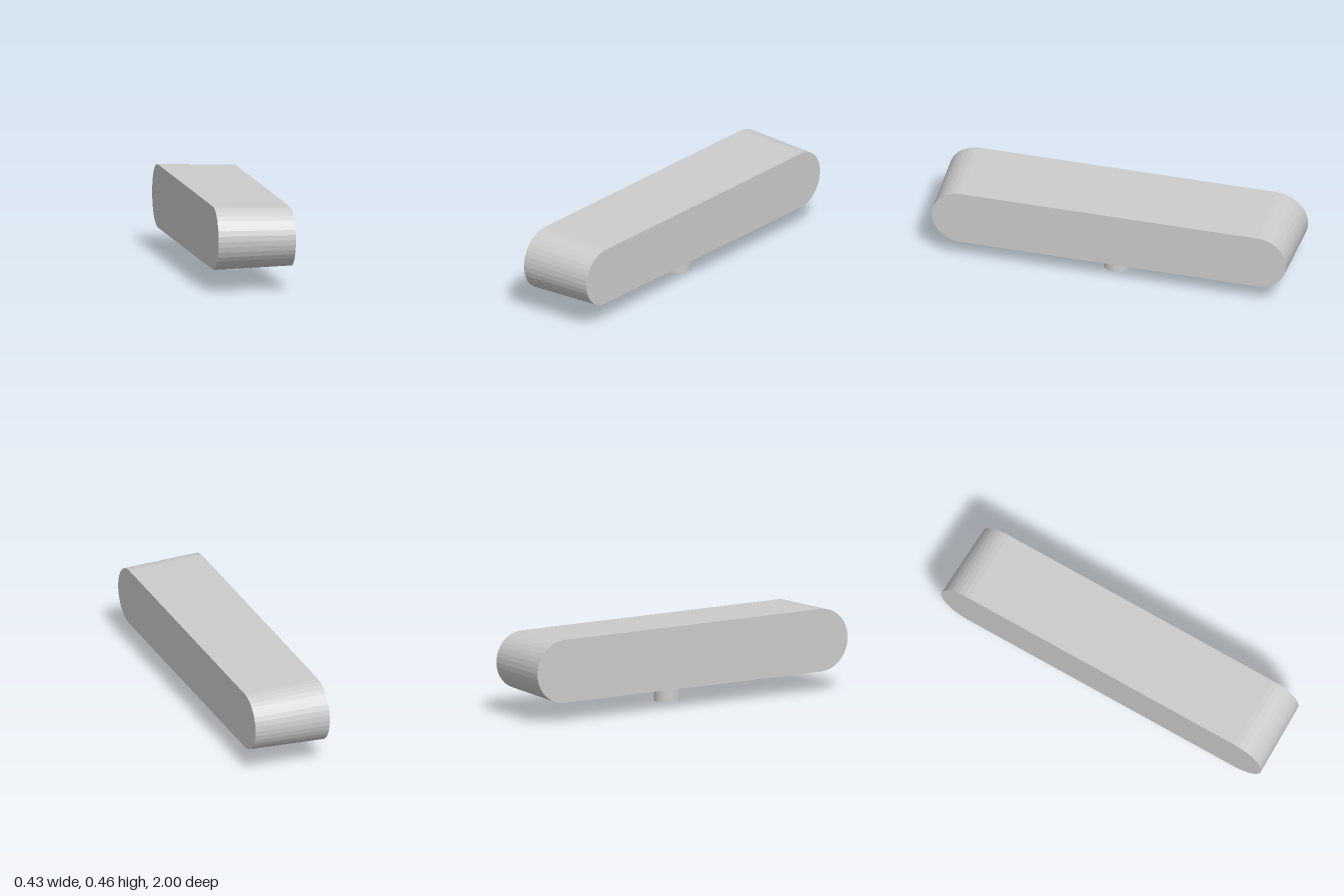
import * as THREE from 'three';

const HALF_WIDTH = 0.213;     // body extent along x
const HALF_STRAIGHT = 0.828;  // straight part of the outline along z
const R_WIDE = 0.172;         // end radius on the -x side
const R_NARROW = 0.158;       // end radius on the +x side
const BODY_Y = 0.283;

// Stadium outline swept along x, with its radius tapering towards +x
function taperedStadium() {
  const shape = new THREE.Shape();
  shape.absarc(HALF_STRAIGHT, 0, R_WIDE, -Math.PI / 2, Math.PI / 2, false);
  shape.absarc(-HALF_STRAIGHT, 0, R_WIDE, Math.PI / 2, Math.PI * 1.5, false);
  shape.closePath();

  const geometry = new THREE.ExtrudeGeometry(shape, {
    depth: HALF_WIDTH * 2, bevelEnabled: false, curveSegments: 9,
  });
  geometry.rotateY(Math.PI / 2).translate(-HALF_WIDTH, 0, 0);

  const pos = geometry.attributes.position;
  for (let i = 0; i < pos.count; i++) {
    const z = pos.getZ(i);
    const centre = THREE.MathUtils.clamp(z, -HALF_STRAIGHT, HALF_STRAIGHT);
    const s = pos.getX(i) > 0 ? R_NARROW / R_WIDE : 1;
    pos.setY(i, pos.getY(i) * s);
    pos.setZ(i, centre + (z - centre) * s);
  }
  geometry.computeVertexNormals();
  return geometry;
}

export function createModel() {
  const model = new THREE.Group();
  const material = new THREE.MeshStandardMaterial({ color: 0xcccccc, flatShading: true });

  // Long rounded body
  const body = new THREE.Mesh(taperedStadium(), material);
  body.name = 'body';
  body.position.y = BODY_Y;

  // Short round stem under the body, its top sunk slightly into it
  const stemHeight = 0.13;
  const stem = new THREE.Mesh(new THREE.CylinderGeometry(0.072, 0.072, stemHeight, 32), material);
  stem.name = 'stem';
  stem.position.set(0.035, stemHeight / 2, 0);

  model.add(body, stem);
  return model;
}
